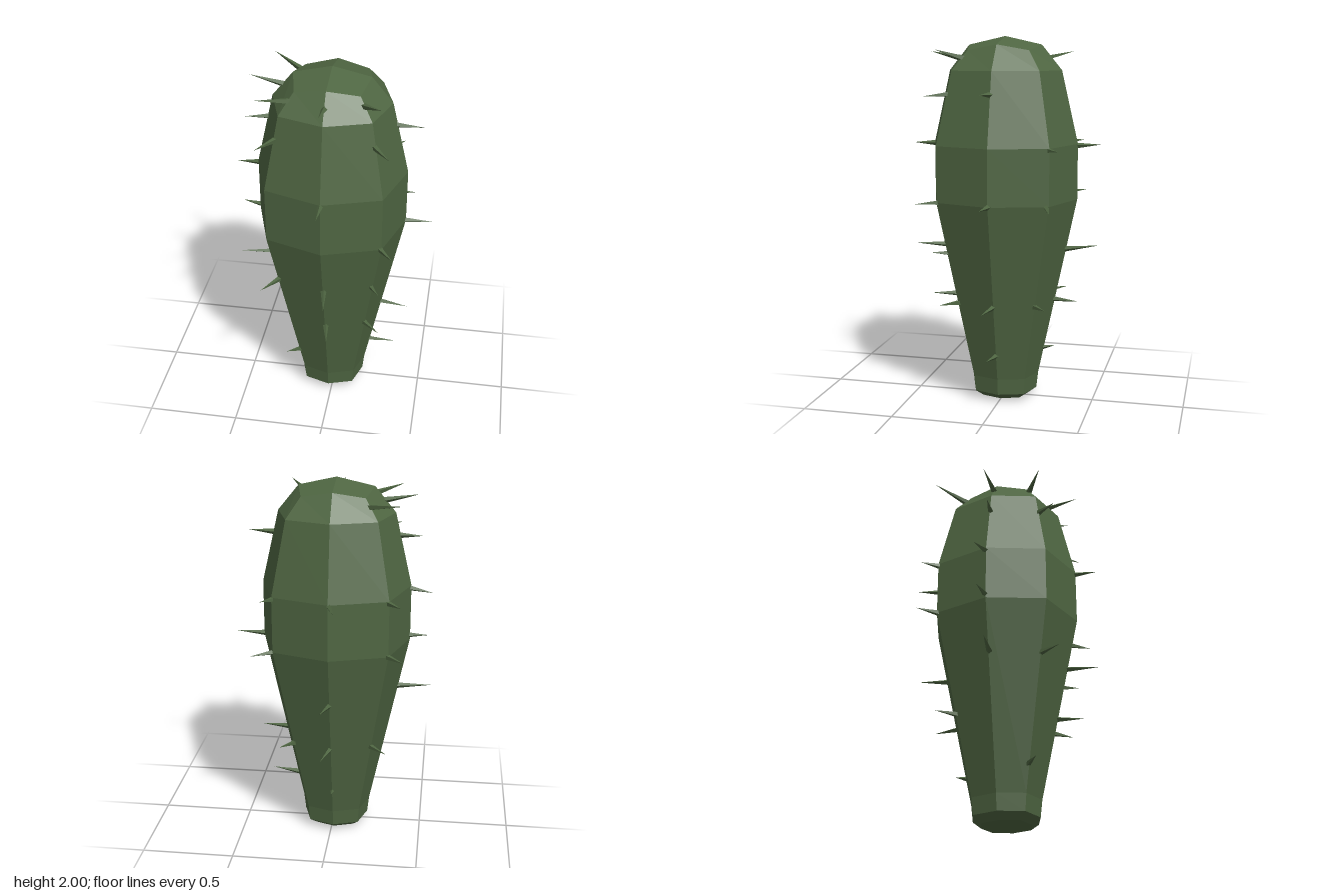
import * as THREE from 'three';

const CENTRE_X = -0.015;
// height and radius of each ring, bottom to top
const PROFILE = [
  [0, 0.005], [0.135, 0.015], [0.18, 0.05], [0.19, 0.14], [0.4, 1.13],
  [0.4, 1.43], [0.31, 1.82], [0.2, 1.955], [0, 2],
];
// spines per rib, ribs every 45 degrees from +x towards +z: [height, tip radius, sideways, rise]
const SPINES = [
  [[1.7, 0.475, 0.02, 0.005], [1.13, 0.55, 0.005, 0.005], [0.57, 0.43, 0.03, -0.005], [0.28, 0.37, 0.02, 0.015]],
  [[1.88, 0.42, 0.02, 0.05], [1.7, 0.49, 0.02, -0.01], [1.13, 0.545, 0.02, 0], [0.85, 0.45, 0.03, 0.01], [0.57, 0.42, 0, 0]],
  [[1.88, 0.42, 0, 0.04], [1.42, 0.52, 0, 0], [0.85, 0.51, -0.03, 0.005], [0.57, 0.42, -0.03, 0]],
  [[1.88, 0.44, 0.04, 0.04], [1.7, 0.49, -0.02, -0.01], [0.85, 0.5, -0.03, -0.005], [0.28, 0.32, 0.01, 0.02]],
  [[1.88, 0.43, 0.01, 0.04], [1.7, 0.455, -0.02, -0.005], [1.42, 0.52, 0.03, -0.02], [1.15, 0.5, 0.02, 0.01], [0.85, 0.525, -0.03, 0]],
  [[1.88, 0.48, -0.03, 0.04], [1.42, 0.53, 0.01, 0], [1.13, 0.55, 0, 0], [0.57, 0.42, 0, 0]],
  [[1.42, 0.52, -0.04, 0.005], [0.85, 0.52, 0.03, 0.035], [0.57, 0.42, 0.04, 0], [0.28, 0.28, 0, 0.02]],
  [[1.42, 0.5, 0, 0], [1.13, 0.53, 0.07, -0.02], [0.57, 0.4, 0, 0]],
];

// diagonal ribs stand out a little further than the straight ones
const diagonalScale = (y) => (y > 1.9 ? 1.17 : 1.07);

function radiusAt(y) {
  const i = PROFILE.findIndex((p) => p[1] > y);
  const [r0, y0] = PROFILE[i - 1];
  const [r1, y1] = PROFILE[i];
  return r0 + ((r1 - r0) * (y - y0)) / (y1 - y0);
}

function bodyGeometry() {
  const geo = new THREE.LatheGeometry(PROFILE.map((p) => new THREE.Vector2(p[0], p[1])), 8);
  const pos = geo.attributes.position;
  for (let i = 0; i < pos.count; i++) {
    if (Math.floor(i / PROFILE.length) % 2 === 0) continue;
    const y = pos.getY(i);
    const s = diagonalScale(y);
    pos.setXYZ(i, pos.getX(i) * s, y > 1.9 && y < 1.99 ? y - 0.03 : y, pos.getZ(i) * s);
  }
  const flat = geo.toNonIndexed();
  flat.computeVertexNormals();
  return flat;
}

export function createModel() {
  const model = new THREE.Group();
  model.name = 'cactus';
  const green = new THREE.MeshStandardMaterial({ color: 0x4f6642, flatShading: true });

  const body = new THREE.Mesh(bodyGeometry(), green);
  body.name = 'body';
  body.position.x = CENTRE_X;
  model.add(body);

  // thin four-sided thorns, rooted just inside the ribs
  const spines = new THREE.Group();
  spines.name = 'spines';
  spines.position.x = CENTRE_X;
  const up = new THREE.Vector3(0, 1, 0);
  SPINES.forEach((rib, k) => {
    const a = (k * Math.PI) / 4;
    const out = new THREE.Vector3(Math.cos(a), 0, Math.sin(a));
    const side = new THREE.Vector3(-Math.sin(a), 0, Math.cos(a));
    for (const [y, tipRadius, sideways, rise] of rib) {
      const r = radiusAt(y) * (k % 2 ? 1.07 : 1) - 0.03;
      const base = out.clone().multiplyScalar(r).setY(y);
      const tip = out.clone().multiplyScalar(tipRadius).addScaledVector(side, sideways).setY(y + rise);
      const dir = tip.clone().sub(base);
      const spine = new THREE.Mesh(new THREE.ConeGeometry(0.018, dir.length(), 4), green);
      spine.name = 'spine';
      spine.position.copy(base).add(tip).multiplyScalar(0.5);
      spine.quaternion.setFromUnitVectors(up, dir.normalize());
      spines.add(spine);
    }
  });
  model.add(spines);
  return model;
}
